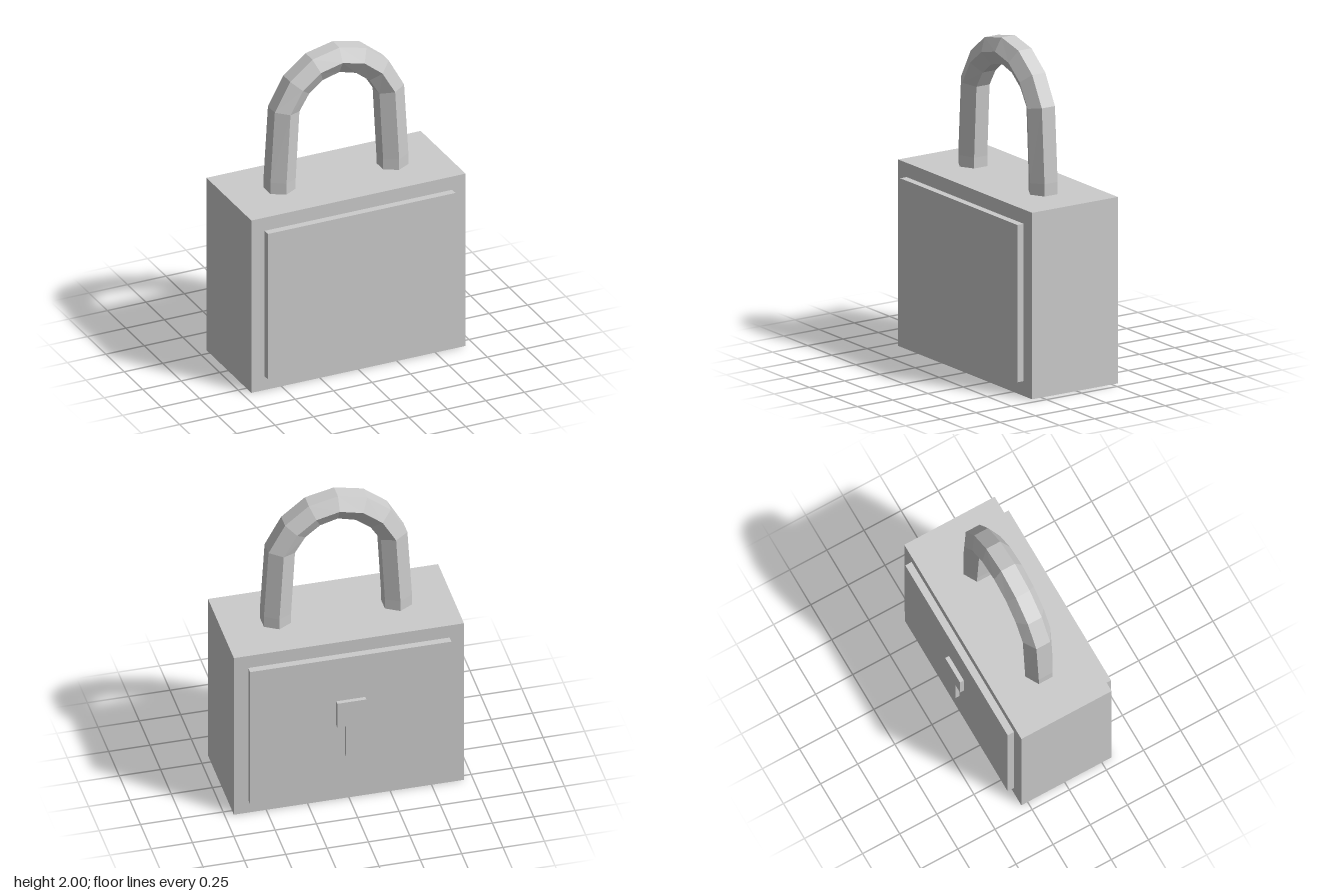
import * as THREE from 'three';

const metal = new THREE.MeshStandardMaterial({ color: 0xcccccc, flatShading: true });
metal.name = 'light grey metal';

// Box given by its lower and upper limits on each axis
function box(name, [x0, x1], [y0, y1], [z0, z1]) {
  const mesh = new THREE.Mesh(new THREE.BoxGeometry(x1 - x0, y1 - y0, z1 - z0), metal);
  mesh.position.set((x0 + x1) / 2, (y0 + y1) / 2, (z0 + z1) / 2);
  mesh.name = name;
  return mesh;
}

// Six-sided bar bent into an arch, mitred at each bend
function shackleGeometry() {
  const sides = 6, radius = 0.093, zMid = 0.012;
  // Right half from foot to crown: outer x, outer y, inner x, inner y
  const half = [
    [0.448, 1.1, 0.284, 1.1],
    [0.448, 1.21, 0.284, 1.2],
    [0.42, 1.665, 0.26, 1.638],
    [0.32, 1.845, 0.197, 1.74],
    [0.176, 1.96, 0.108, 1.81],
    [0, 2, 0, 1.84],
  ];
  const mirrored = half.slice(0, -1).reverse().map(([a, b, c, d]) => [-a, b, -c, d]);
  const stations = [...half, ...mirrored];
  const points = [], index = [];
  for (const [ox, oy, ix, iy] of stations) {
    for (let k = 0; k < sides; k++) {
      const a = Math.PI / 6 + (k * Math.PI * 2) / sides;
      const t = Math.cos(a) / Math.cos(Math.PI / 6) / 2;
      points.push((ox + ix) / 2 + t * (ox - ix), (oy + iy) / 2 + t * (oy - iy), zMid + radius * Math.sin(a));
    }
  }
  for (let i = 0; i < stations.length - 1; i++) {
    for (let k = 0; k < sides; k++) {
      const a = i * sides + k, b = i * sides + ((k + 1) % sides);
      index.push(a, a + sides, b, b, a + sides, b + sides);
    }
  }
  // End caps
  const last = (stations.length - 1) * sides;
  for (let k = 1; k < sides - 1; k++) {
    index.push(0, k, k + 1, last, last + k + 1, last + k);
  }
  const indexed = new THREE.BufferGeometry();
  indexed.setAttribute('position', new THREE.Float32BufferAttribute(points, 3));
  indexed.setIndex(index);
  const geometry = indexed.toNonIndexed();
  geometry.computeVertexNormals();
  return geometry;
}

// Keyhole: square head over a narrow stem
function keyhole() {
  const shape = new THREE.Shape([
    [-0.035, 0.35], [0.035, 0.35], [0.035, 0.57], [0.088, 0.57],
    [0.088, 0.742], [-0.088, 0.742], [-0.088, 0.57], [-0.035, 0.57],
  ].map(([x, y]) => new THREE.Vector2(x, y)));
  const mesh = new THREE.Mesh(new THREE.ExtrudeGeometry(shape, { depth: 0.028, bevelEnabled: false }), metal);
  mesh.position.z = -0.361;
  mesh.name = 'keyhole';
  return mesh;
}

export function createModel() {
  const padlock = new THREE.Group();
  padlock.name = 'padlock';
  padlock.add(
    box('body', [-0.696, 0.696], [0, 1.135], [-0.292, 0.316]),
    box('frontPanel', [-0.609, 0.609], [0.09, 1.048], [0.31, 0.361]),
    box('backPanel', [-0.609, 0.609], [0.09, 1.048], [-0.335, -0.286]),
    keyhole(),
  );
  const shackle = new THREE.Mesh(shackleGeometry(), metal);
  shackle.name = 'shackle';
  padlock.add(shackle);
  return padlock;
}
